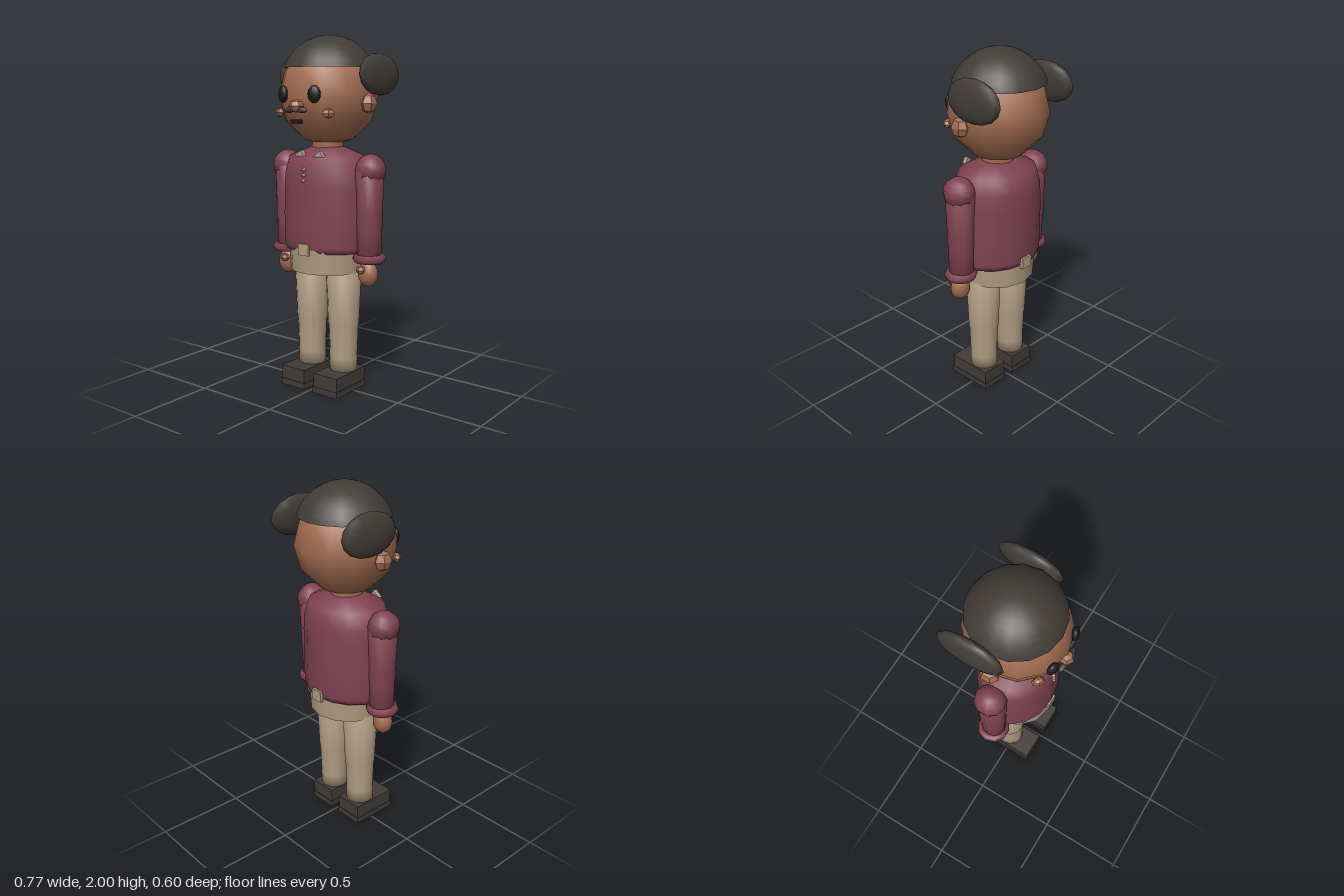
import * as THREE from 'three';

const mat = (name, color, extra = {}) => {
  const m = new THREE.MeshStandardMaterial({ color, ...extra });
  m.name = name;
  return m;
};

export function createModel() {
  const skin = mat('skin', 0xa26b50);
  const skinFacet = skin;
  const hair = mat('hair', 0x423c37, { side: THREE.DoubleSide });
  const knit = mat('sweater', 0x7f4251);
  const cloth = mat('trousers', 0xb09c82);
  const black = mat('eye black', 0x1b1b1c);

  const root = new THREE.Group();
  root.name = 'figure';

  const add = (name, geo, material, x, y, z) => {
    const m = new THREE.Mesh(geo, material);
    m.name = name;
    m.position.set(x, y, z);
    root.add(m);
    return m;
  };
  // Ellipsoid with a pole on the y axis
  const ball = (name, material, [x, y, z], [rx, ry, rz], seg = 12, rings = 8) => {
    const g = new THREE.SphereGeometry(1, seg, rings);
    g.rotateY(Math.PI / 2);
    g.scale(rx, ry, rz);
    return add(name, g, material, x, y, z);
  };
  // Small faceted ellipsoid
  const nub = (name, p, r, seg = 6, rings = 4) => {
    const m = ball(name, skinFacet, p, r, seg, rings);
    m.geometry = m.geometry.toNonIndexed();
    m.geometry.computeVertexNormals();
    return m;
  };
  // Turned profile, bottom to top, squashed in z
  const turned = (name, material, pts, seg, zScale, x, z) => {
    const g = new THREE.LatheGeometry(pts.map(p => new THREE.Vector2(...p)), seg);
    g.scale(1, 1, zScale);
    return add(name, g, material, x, 0, z);
  };

  // Head, neck and hair
  ball('head', skin, [0, 1.67, -0.02], [0.278, 0.28, 0.283], 12, 6);
  add('neck', new THREE.CylinderGeometry(0.09, 0.09, 0.1, 12), skin, 0, 1.38, -0.015);
  const cap = new THREE.SphereGeometry(0.27, 16, 8, 0, Math.PI * 2, 0, Math.acos(0.09 / 0.27));
  add('hairCap', cap, hair, 0, 1.73, -0.03);

  // Face
  nub('nose', [0, 1.615, 0.26], [0.042, 0.035, 0.04]);
  add('mouth', new THREE.BoxGeometry(0.07, 0.022, 0.012), black, 0, 1.533, 0.258);

  // Sweater body
  turned('sweaterBody', knit, [
    [0, 0.81], [0.258, 0.81], [0.268, 0.84], [0.27, 1.0], [0.268, 1.16],
    [0.262, 1.25], [0.235, 1.335], [0.1, 1.388], [0, 1.39],
  ], 16, 0.81, 0, -0.016);

  // Buttons down the chest
  for (let i = 0; i < 3; i++) {
    ball('button', cloth, [0, 1.272 - i * 0.03, 0.198 + i * 0.002], [0.01, 0.01, 0.014], 8, 6);
  }

  // Hips with fastening tabs front and back
  const hips = new THREE.CylinderGeometry(0.225, 0.216, 0.14, 12);
  hips.scale(1, 1, 0.96);
  add('hips', hips, cloth, 0, 0.76, -0.012);
  for (const z of [0.2, -0.235]) {
    add('waistTab', new THREE.BoxGeometry(0.07, 0.065, 0.02), cloth, 0, 0.829, z);
  }

  for (const s of [-1, 1]) {
    const side = s > 0 ? 'left' : 'right';
    const n = part => side + part;

    // Side hair, ears, eyes, cheeks, moustache
    const puff = ball(n('HairPuff'), hair, [s * 0.277, 1.784, -0.115], [0.043, 0.115, 0.187], 12, 8);
    puff.rotation.z = s * 0.08;
    nub(n('Ear'), [s * 0.277, 1.628, -0.015], [0.043, 0.055, 0.055]);
    const eye = ball(n('Eye'), black, [s * 0.107, 1.677, 0.241], [0.036, 0.047, 0.022]);
    eye.rotation.y = s * 0.35;
    const cheek = nub(n('Cheek'), [s * 0.168, 1.577, 0.197], [0.038, 0.026, 0.024]);
    cheek.rotation.y = s * 0.7;
    const whisker = ball(n('Moustache'), hair, [s * 0.04, 1.594, 0.263], [0.036, 0.016, 0.017]);
    whisker.rotation.z = s * -0.08;

    // Collar point
    const tri = new THREE.Shape();
    tri.moveTo(-0.033, -0.012);
    tri.lineTo(0.033, -0.012);
    tri.lineTo(0.012, 0.022);
    const flap = new THREE.ExtrudeGeometry(tri, { depth: 0.025, bevelEnabled: false });
    add(n('Collar'), flap, cloth, s * 0.065, 1.352, 0.135);

    // Arm
    ball(n('Shoulder'), knit, [s * 0.293, 1.272, -0.015], [0.086, 0.087, 0.09], 10, 8);
    turned(n('Sleeve'), knit, [
      [0, 0.775], [0.068, 0.775], [0.07, 0.95], [0.075, 0.99], [0.073, 1.03], [0.08, 1.27], [0, 1.27],
    ], 12, 1.06, s * 0.286, -0.014);
    const cuff = new THREE.TorusGeometry(0.068, 0.026, 6, 10);
    cuff.rotateX(Math.PI / 2);
    add(n('Cuff'), cuff, knit, s * 0.292, 0.784, -0.013);
    ball(n('Hand'), skin, [s * 0.288, 0.697, -0.005], [0.06, 0.073, 0.053], 10, 8);
    nub(n('Thumb'), [s * 0.273, 0.724, 0.043], [0.03, 0.024, 0.025]);

    // Leg with knee and hem creases
    turned(n('TrouserLeg'), cloth, [
      [0, 0.1], [0.079, 0.1], [0.082, 0.19], [0.08, 0.195], [0.086, 0.37], [0.09, 0.385], [0.102, 0.7], [0, 0.7],
    ], 12, 1, s * 0.114, -0.014);

    // Shoe: upper on a slightly wider sole
    add(n('ShoeUpper'), new THREE.BoxGeometry(0.162, 0.08, 0.27), hair, s * 0.116, 0.072, 0.027);
    add(n('ShoeSole'), new THREE.BoxGeometry(0.17, 0.035, 0.278), hair, s * 0.116, 0.0175, 0.027);
  }
  return root;
}
